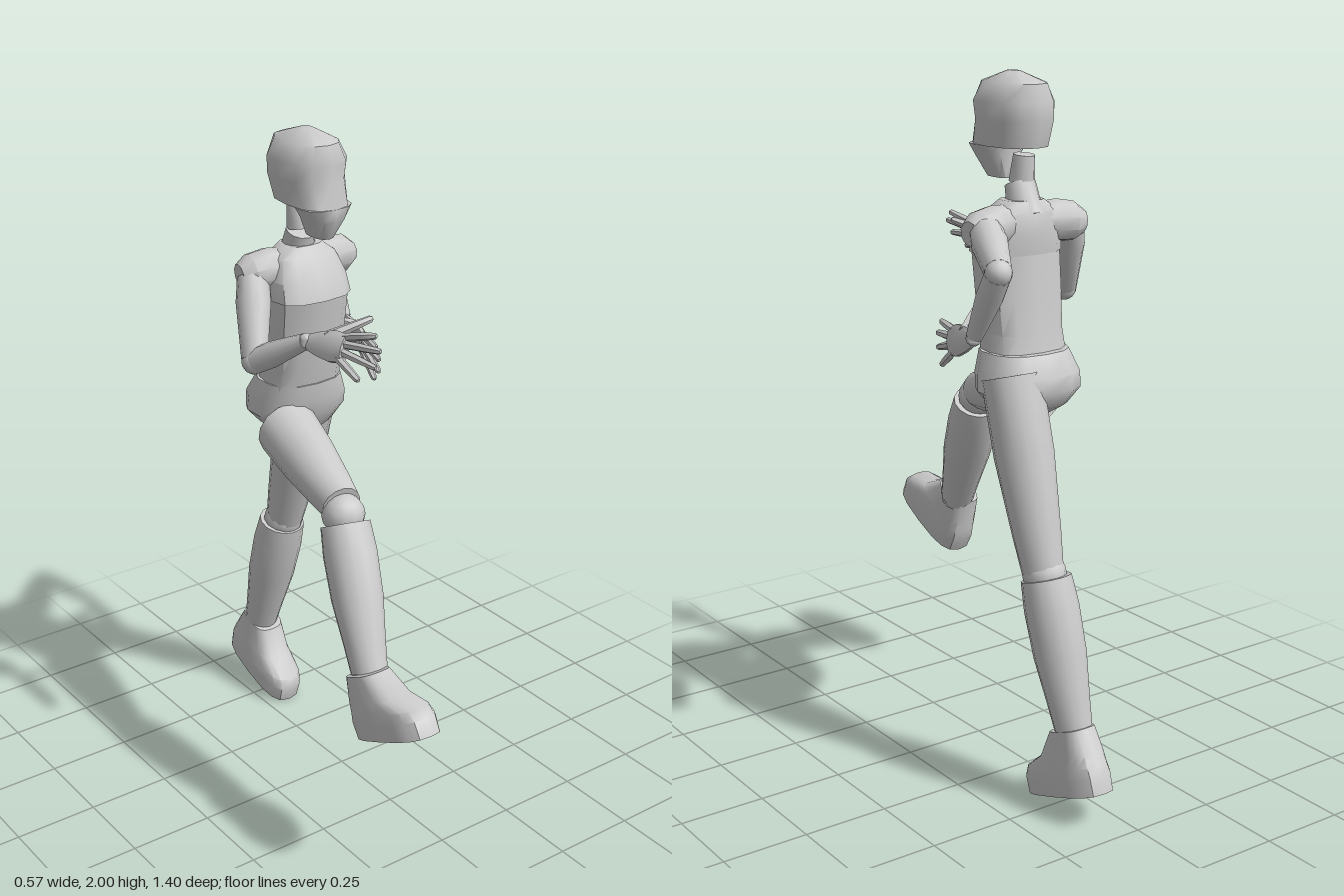
import * as THREE from 'three';
import { toCreasedNormals } from 'three/addons/utils/BufferGeometryUtils.js';

const grey = new THREE.MeshStandardMaterial({ color: 0xcccccc, side: THREE.DoubleSide });
const V = (x, y, z) => new THREE.Vector3(x, y, z);

function part(name, geometry, crease = 0.7) {
  const mesh = new THREE.Mesh(toCreasedNormals(geometry, crease), grey);
  mesh.name = name;
  return mesh;
}

// Capped body from horizontal rings [y, centreX, halfWidth, zFront, zBack]
function loft(name, rings, power = 2.5, sides = 12, crease = 0.7) {
  const pos = [], index = [], soft = (v) => Math.sign(v) * Math.abs(v) ** (2 / power);
  for (const [y, cx, hw, zf, zb] of rings) {
    for (let i = 0; i < sides; i++) {
      const a = (i / sides) * Math.PI * 2;
      pos.push(cx + hw * soft(Math.sin(a)), y, (zf + zb) / 2 + ((zf - zb) / 2) * soft(Math.cos(a)));
    }
  }
  const last = (rings.length - 1) * sides;
  for (let i = 0; i < sides; i++) {
    const j = (i + 1) % sides;
    for (let r = 0; r < last; r += sides) {
      index.push(r + i, r + j, r + sides + j, r + i, r + sides + j, r + sides + i);
    }
    if (i > 0 && i < sides - 1) index.push(0, j, i, last, last + i, last + j);
  }
  const g = new THREE.BufferGeometry();
  g.setAttribute('position', new THREE.Float32BufferAttribute(pos, 3));
  g.setIndex(index);
  return part(name, g, crease);
}

// Turned limb from a to b; profile is [fraction along, radius].
// spread and flat squash it into a plate (used for palms).
function limb(name, a, b, profile, sides = 12, spread = V(1, 0.01, 0.02), flat = 1) {
  const dir = b.clone().sub(a), len = dir.length();
  dir.normalize();
  const pts = profile.map(([t, r]) => new THREE.Vector2(r, t * len));
  pts.unshift(new THREE.Vector2(0, pts[0].y));
  pts.push(new THREE.Vector2(0, pts[pts.length - 1].y));
  const g = new THREE.LatheGeometry(pts, sides).scale(1, 1, flat);
  const x = spread.clone().addScaledVector(dir, -spread.dot(dir)).normalize();
  g.applyMatrix4(new THREE.Matrix4().makeBasis(x, dir, x.clone().cross(dir)));
  g.translate(a.x, a.y, a.z);
  return part(name, g);
}

function ball(name, p, r) {
  const mesh = part(name, new THREE.SphereGeometry(r, 12, 8), 1);
  mesh.position.copy(p);
  return mesh;
}

// Palm, four fingers and a thumb
function hand(name, wrist, knuckles, tips, thumbTip) {
  const group = new THREE.Group();
  group.name = name;
  const spread = tips[0].clone().sub(tips[3]).normalize();
  group.add(limb('palm', wrist, knuckles,
    [[-0.1, 0.024], [0.25, 0.036], [0.7, 0.046], [1.05, 0.04]], 10, spread, 0.42));
  tips.forEach((tip, i) => {
    const base = knuckles.clone().addScaledVector(spread, (1.5 - i) * 0.021);
    group.add(limb('finger', base, tip, [[-0.1, 0.012], [0.5, 0.0115], [0.95, 0.009], [1, 0.005]], 6));
  });
  const base = wrist.clone().lerp(knuckles, 0.35).addScaledVector(spread, 0.02);
  group.add(limb('thumb', base, thumbTip, [[0, 0.017], [0.5, 0.014], [0.95, 0.01], [1, 0.005]], 6));
  return group;
}

function arm(side, shoulder, elbow, wrist) {
  const group = new THREE.Group(), s = Math.sign(shoulder.x);
  group.name = side + 'Arm';
  group.add(
    limb('shoulderCap', V(s * 0.05, 1.6, -0.205), V(s * 0.19, 1.585, -0.225),
      [[0, 0.05], [0.35, 0.06], [0.75, 0.056], [1, 0.035]], 10),
    limb('upperArm', shoulder, elbow, [[0, 0.045], [0.3, 0.05], [0.97, 0.037]]),
    ball('elbow', elbow, 0.037),
    limb('forearm', elbow, wrist, [[0.05, 0.036], [0.35, 0.037], [0.97, 0.023]]),
    ball('wrist', wrist, 0.022));
  return group;
}

// Foot in its own frame: heel at the origin, toes along +z, sole on y = 0
function foot(name, heel, pitch) {
  const mesh = loft(name, [
    [0, 0, 0.064, 0.32, 0], [0.05, 0, 0.067, 0.318, -0.003], [0.078, 0, 0.064, 0.3, 0.003],
    [0.11, 0, 0.06, 0.222, 0.012], [0.18, 0, 0.052, 0.155, 0.03],
  ], 3, 16);
  mesh.position.copy(heel);
  mesh.rotation.x = pitch;
  return mesh;
}

function leg(side, hip, thighEnd, calfTop, ankle, hipRadius, heel, pitch) {
  const group = new THREE.Group();
  group.name = side + 'Leg';
  group.add(
    limb('thigh', hip, thighEnd, [[0, hipRadius], [0.4, 0.084], [0.8, 0.068], [1, 0.058]], 14),
    ball('knee', thighEnd.clone().lerp(calfTop, 0.5), 0.062),
    limb('calf', calfTop, ankle, [[0, 0.071], [0.2, 0.077], [0.5, 0.074], [0.8, 0.06], [1, 0.052]], 14),
    ball('ankle', ankle, 0.05),
    foot('foot', heel, pitch));
  return group;
}

export function createModel() {
  const model = new THREE.Group();
  model.name = 'runningMannequin';

  // Head: narrow jaw, stepping back to the skull
  model.add(loft('head', [
    [1.708, -0.015, 0.028, -0.035, -0.135], [1.765, -0.015, 0.056, -0.003, -0.135],
    [1.8, -0.015, 0.08, 0, -0.135], [1.8, -0.015, 0.083, 0, -0.25],
    [1.87, -0.015, 0.094, -0.027, -0.265], [1.92, -0.015, 0.098, -0.02, -0.263],
    [1.97, -0.015, 0.072, -0.035, -0.252], [2, -0.015, 0.015, -0.12, -0.16],
  ], 2.4, 12, 0.8));

  // Neck in two pieces
  model.add(
    limb('lowerNeck', V(-0.005, 1.61, -0.215), V(-0.01, 1.7, -0.18), [[0, 0.055], [0.5, 0.047], [1, 0.043]]),
    limb('upperNeck', V(-0.01, 1.705, -0.187), V(-0.012, 1.78, -0.195), [[0, 0.036], [1, 0.03]]));

  // Torso
  model.add(
    loft('chest', [
      [1.515, -0.003, 0.126, -0.07, -0.265], [1.57, -0.003, 0.12, -0.088, -0.27],
      [1.63, -0.003, 0.1, -0.125, -0.262], [1.66, -0.003, 0.06, -0.145, -0.245],
    ], 2.8),
    loft('abdomen', [
      [1.23, 0, 0.118, -0.125, -0.305], [1.3, 0, 0.113, -0.108, -0.292],
      [1.4, -0.002, 0.118, -0.094, -0.278], [1.53, -0.003, 0.121, -0.076, -0.262],
    ], 2.8),
    loft('pelvis', [
      [1.06, 0.01, 0.035, -0.19, -0.28], [1.1, 0.01, 0.11, -0.155, -0.34],
      [1.145, 0.01, 0.15, -0.135, -0.365], [1.19, 0.008, 0.145, -0.12, -0.366],
      [1.25, 0.003, 0.124, -0.115, -0.325],
    ], 2.5, 14));

  // Arms and hands
  model.add(
    arm('left', V(0.14, 1.59, -0.23), V(0.25, 1.52, -0.44), V(0.25, 1.33, -0.33)),
    hand('leftHand', V(0.25, 1.325, -0.315), V(0.228, 1.295, -0.2),
      [V(0.19, 1.325, -0.09), V(0.192, 1.29, -0.075), V(0.195, 1.25, -0.08), V(0.21, 1.21, -0.12)],
      V(0.14, 1.39, -0.2)),
    arm('right', V(-0.155, 1.58, -0.21), V(-0.225, 1.375, -0.105), V(-0.165, 1.475, 0.065)),
    hand('rightHand', V(-0.165, 1.478, 0.09), V(-0.148, 1.495, 0.21),
      [V(-0.11, 1.55, 0.305), V(-0.122, 1.52, 0.34), V(-0.142, 1.48, 0.345), V(-0.172, 1.44, 0.31)],
      V(-0.035, 1.55, 0.19)));

  // Legs: left trails, right is raised forward
  model.add(
    leg('left', V(0.082, 1.19, -0.27), V(0.086, 0.67, -0.425), V(0.082, 0.655, -0.435), V(0.072, 0.24, -0.555),
      0.085, V(0.075, 0.11, -0.698), 0.347),
    leg('right', V(-0.075, 1.107, -0.167), V(-0.14, 1.02, 0.19), V(-0.147, 0.975, 0.218), V(-0.205, 0.61, 0.41),
      0.092, V(-0.22, 0.42, 0.42), -0.464));

  return model;
}
